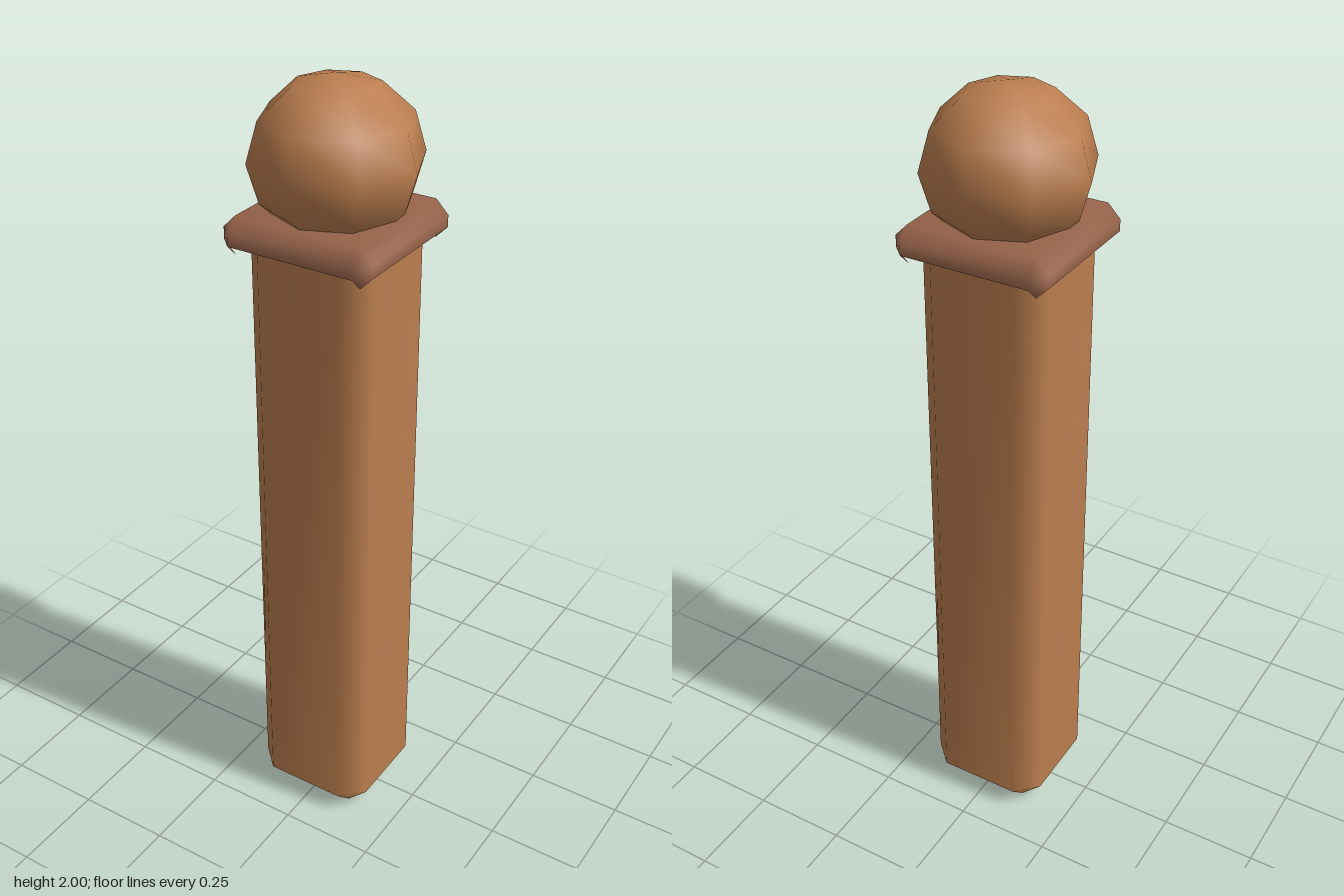
import * as THREE from 'three';

const wood = new THREE.MeshStandardMaterial({ color: 0xbb7e4f, side: THREE.DoubleSide });
wood.name = 'light wood';
const darkWood = new THREE.MeshStandardMaterial({ color: 0x96634a, side: THREE.DoubleSide });
darkWood.name = 'dark wood';

// Square shell with bevelled edges, open below with a pointed facet under each corner.
// h: half width, b: bevel, y0..y1: height, capped: bevelled lid on top
function bevelledShell(h, b, y0, y1, capped) {
  const c = h - b;
  const pos = [];
  const index = [];
  for (let k = 0; k < 4; k++) {
    const a = (k * Math.PI) / 2;
    const add = (x, y, z) =>
      pos.push(x * Math.cos(a) - z * Math.sin(a), y, x * Math.sin(a) + z * Math.cos(a));
    add(h, y0 + b, c); // 0, 1: lower ring
    add(c, y0 + b, h);
    add(h, y1 - b, c); // 2, 3: upper ring
    add(c, y1 - b, h);
    add(c, y0, c); // 4: bottom point
    add(c, y1, c); // 5: lid corner
  }
  for (let k = 0; k < 4; k++) {
    const i = k * 6;
    const n = ((k + 1) % 4) * 6;
    index.push(i, i + 2, i + 1, i + 1, i + 2, i + 3); // corner chamfer
    index.push(i + 1, i + 3, n, n, i + 3, n + 2); // flat side
    index.push(i, i + 1, i + 4); // facet below the corner
    if (capped) {
      index.push(i + 2, i + 5, i + 3); // lid corner facet
      index.push(i + 3, i + 5, n + 2, n + 2, i + 5, n + 5); // lid bevel
    }
  }
  if (capped) index.push(5, 17, 11, 5, 23, 17);
  const g = new THREE.BufferGeometry();
  g.setAttribute('position', new THREE.Float32BufferAttribute(pos, 3));
  g.setIndex(index);
  g.computeVertexNormals();
  return g;
}

export function createModel() {
  const group = new THREE.Group();
  group.name = 'post';
  const part = (name, geometry, material) => {
    const mesh = new THREE.Mesh(geometry, material);
    mesh.name = name;
    group.add(mesh);
    return mesh;
  };

  part('shaft', bevelledShell(0.163, 0.055, 0.005, 1.715, false), wood);
  part('collar', bevelledShell(0.197, 0.033, 1.597, 1.693, true), darkWood);

  // Slightly squashed ball on top
  const ball = new THREE.SphereGeometry(0.205, 8, 6);
  ball.scale(1, 0.19 / 0.205, 1);
  part('ball', ball, wood).position.y = 1.81;

  // Stand exactly on the ground
  group.children[0].position.y = -0.005;
  return group;
}
